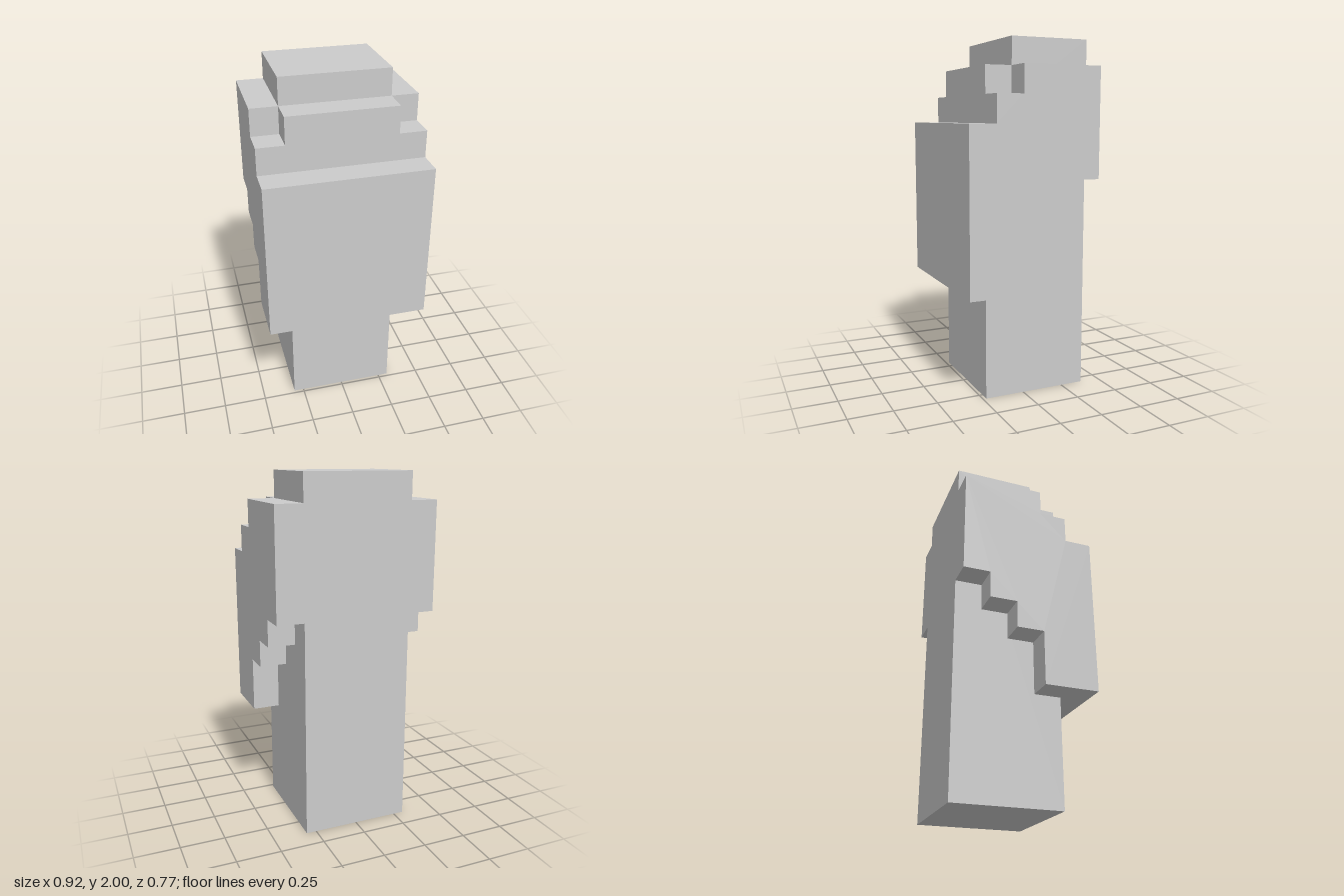
import * as THREE from 'three';

// One block is 1/13 of the total height
const U = 2 / 13;
const material = new THREE.MeshStandardMaterial({ color: 0xcccccc, flatShading: true });

// Extrudes a stepped side profile of [z, y] block coordinates from x0 to x1
function slab(name, profile, x0, x1) {
  const shape = new THREE.Shape(profile.map(([z, y]) => new THREE.Vector2(-z * U, y * U)));
  const geometry = new THREE.ExtrudeGeometry(shape, { depth: (x1 - x0) * U, bevelEnabled: false });
  geometry.rotateY(Math.PI / 2); // shape x becomes -z, depth becomes +x
  geometry.translate(x0 * U, 0, 0);
  const mesh = new THREE.Mesh(geometry, material);
  mesh.name = name;
  return mesh;
}

export function createModel() {
  const model = new THREE.Group();
  model.name = 'steppedBlockFigure';

  // Central column with the projecting front and stepped top
  const core = [
    [-2.5, 0], [1.5, 0], [1.5, 4], [2.5, 4], [2.5, 10],
    [1.5, 10], [1.5, 12], [0.5, 12], [0.5, 13], [-2.5, 13],
  ];
  model.add(slab('core', core, -2, 2));

  // Side panels with stair-stepped top and underside
  const flank = [
    [2.5, 4], [2.5, 10], [1.5, 10], [1.5, 11], [0.5, 11], [0.5, 12], [-2.5, 12],
    [-2.5, 8], [-1.5, 8], [-1.5, 7], [-0.5, 7], [-0.5, 6], [0.5, 6], [0.5, 4],
  ];
  model.add(slab('leftFlank', flank, 2, 3), slab('rightFlank', flank, -3, -2));

  return model;
}
